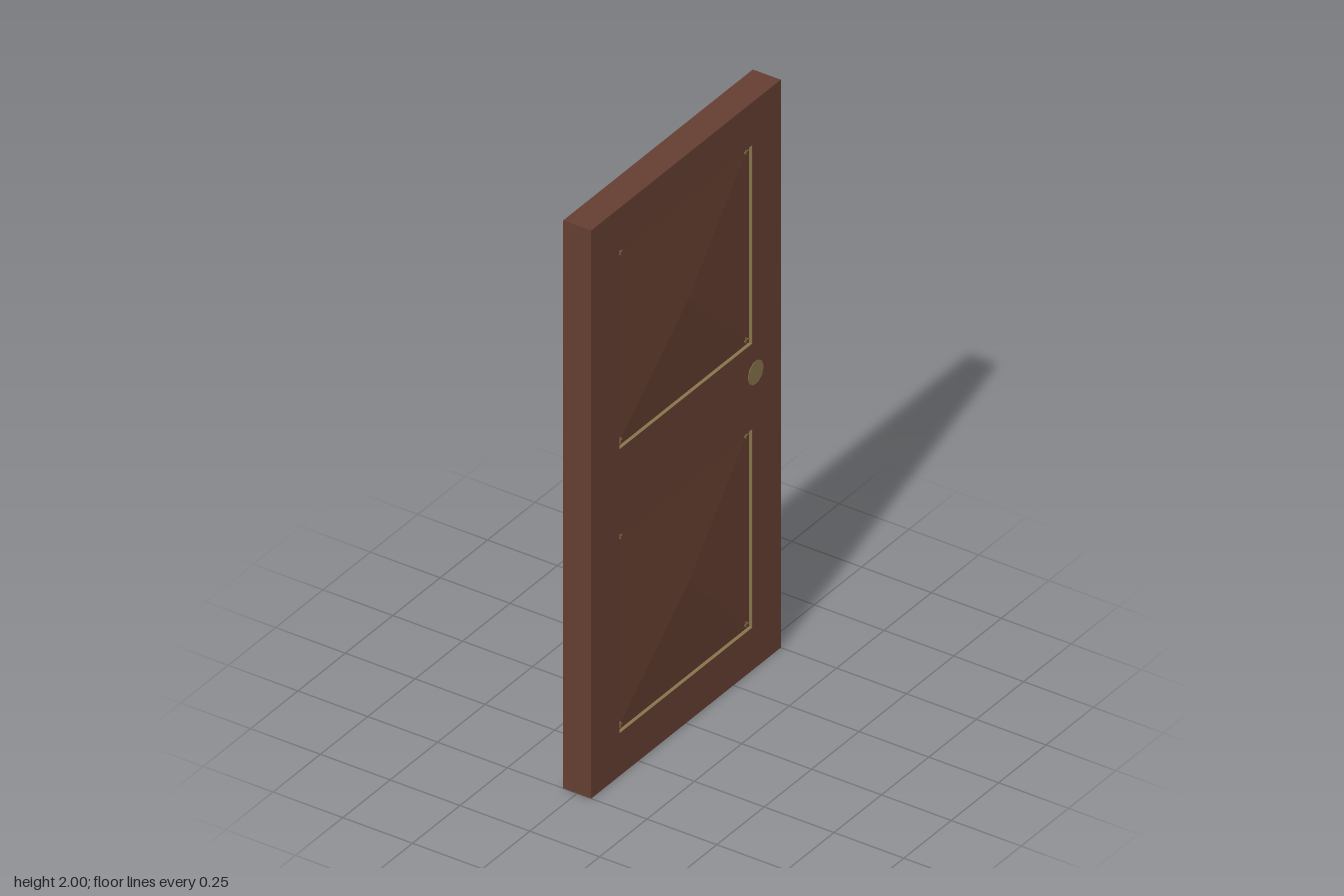
import * as THREE from 'three';

const HALF_T = 0.05;     // half thickness of the door
const PANEL = 0.35;      // half width of a square panel
const BASE_X = 0.038;    // depth of the panel rim
const APEX_X = 0.06;     // height of the panel centre
const PANEL_Y = [0.5, 1.5];

export function createModel() {
  const wood = new THREE.MeshStandardMaterial({ color: 0x643e30 });
  wood.name = 'darkWood';
  const brass = new THREE.MeshStandardMaterial({ color: 0x85734a });
  brass.name = 'brass';

  const door = new THREE.Group();
  door.name = 'door';
  const add = (parent, name, geometry, material, x = 0, y = 0, z = 0) => {
    const mesh = new THREE.Mesh(geometry, material);
    mesh.name = name;
    mesh.position.set(x, y, z);
    parent.add(mesh);
    return mesh;
  };
  const rect = (target, w, y0, y1) => target
    .moveTo(-w, y0).lineTo(w, y0).lineTo(w, y1).lineTo(-w, y1).closePath();

  // Frame with two square openings
  const outline = rect(new THREE.Shape(), 0.5, 0, 2);
  for (const y of PANEL_Y) outline.holes.push(rect(new THREE.Path(), PANEL, y - PANEL, y + PANEL));
  const frame = new THREE.ExtrudeGeometry(outline, { depth: HALF_T * 2, bevelEnabled: false });
  frame.translate(0, 0, -HALF_T).rotateY(Math.PI / 2);
  add(door, 'frame', frame, wood);

  // Shallow pyramid, apex towards +x
  const height = APEX_X - BASE_X;
  const pyramid = new THREE.CylinderGeometry(0, PANEL * Math.SQRT2, height, 4, 1)
    .rotateY(Math.PI / 4).rotateZ(-Math.PI / 2).toNonIndexed();
  pyramid.computeVertexNormals();

  for (const side of [1, -1]) {
    const face = new THREE.Group();
    face.name = side > 0 ? 'leftFace' : 'rightFace';
    door.add(face);

    for (const y of PANEL_Y) {
      const panel = add(face, 'raisedPanel', pyramid, wood, side * (BASE_X + height / 2), y, 0);
      if (side < 0) panel.rotation.y = Math.PI;

      // Brass lining on the four walls around the panel
      const depth = HALF_T - BASE_X;
      for (let i = 0; i < 4; i++) {
        const wall = new THREE.PlaneGeometry(depth, PANEL * 2)
          .rotateY(Math.PI).translate(0, 0, PANEL - 0.0008).rotateX(i * Math.PI / 2);
        add(face, 'brassLining', wall, brass, side * (BASE_X + depth / 2), y, 0);
      }

      // Small brass crosses in the corners
      for (const sy of [1, -1]) for (const sz of [1, -1]) {
        const x = side * 0.0395;
        add(face, 'cornerPin', new THREE.BoxGeometry(0.003, 0.022, 0.003), brass, x, y + sy * 0.332, sz * 0.332);
        add(face, 'cornerPin', new THREE.BoxGeometry(0.003, 0.003, 0.022), brass, x, y + sy * 0.332, sz * 0.332);
      }
    }

    // Flat round handle plate
    const plate = new THREE.CylinderGeometry(0.041, 0.041, 0.003, 10).rotateZ(Math.PI / 2);
    add(face, 'handlePlate', plate, brass, side * HALF_T, 1.04, -0.367);
  }
  return door;
}
